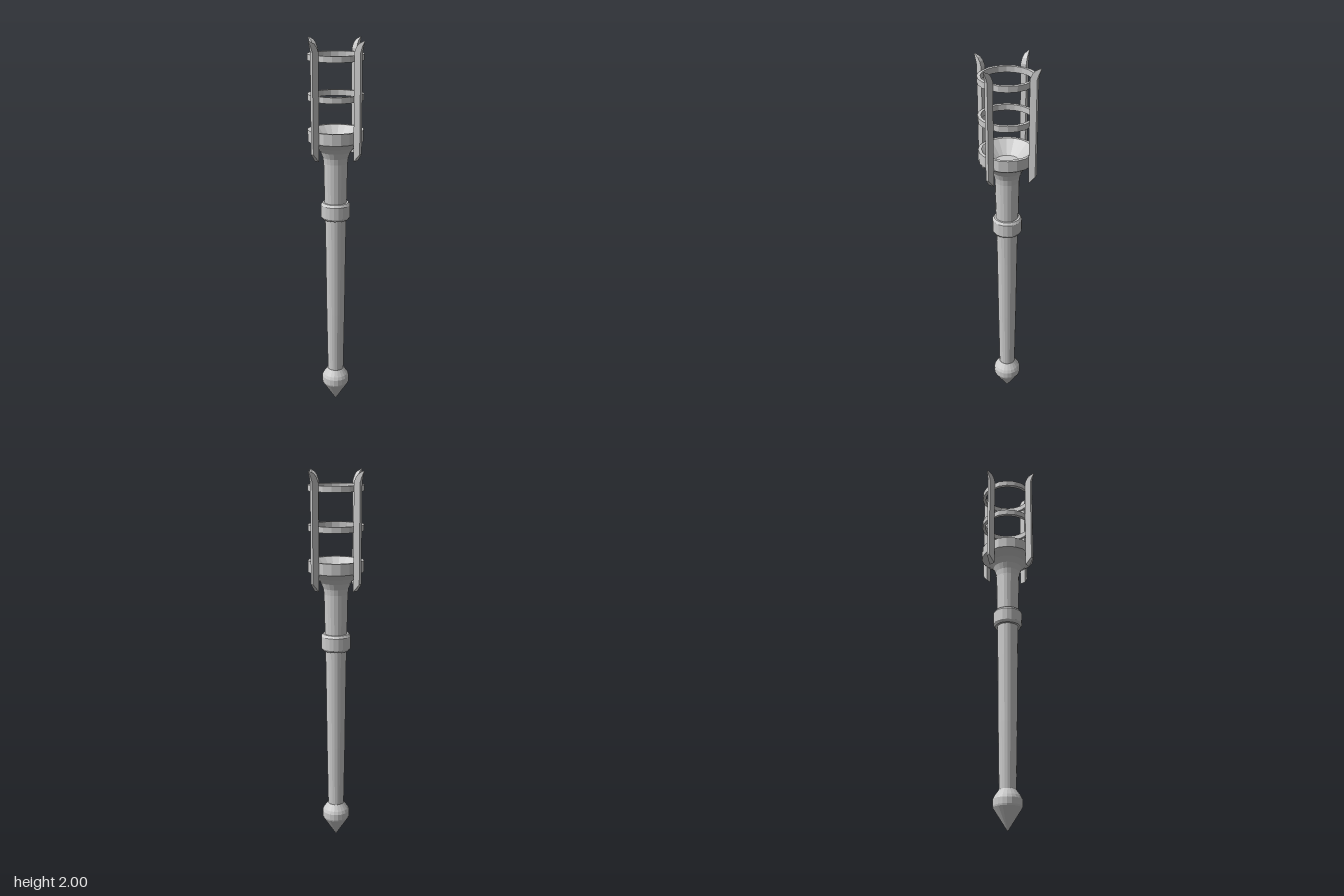
import * as THREE from 'three';

const SIDES = 20;
const FLAT = 0.137; // radius at which the cage is flattened behind each prong

export function createModel() {
  const group = new THREE.Group();
  const material = new THREE.MeshStandardMaterial({ color: 0xcccccc, flatShading: true });

  const add = (name, geometry) => {
    const mesh = new THREE.Mesh(geometry, material);
    mesh.name = name;
    group.add(mesh);
    return mesh;
  };

  // Turned part from [radius, height] pairs, running bottom to top on the outside
  const turned = (name, points) => {
    const geometry = new THREE.LatheGeometry(points.map(([r, y]) => new THREE.Vector2(r, y)), SIDES);
    const p = geometry.attributes.position;
    for (let i = 0; i < p.count; i++) {
      p.setX(i, THREE.MathUtils.clamp(p.getX(i), -FLAT, FLAT));
      p.setZ(i, THREE.MathUtils.clamp(p.getZ(i), -FLAT, FLAT));
    }
    geometry.computeVertexNormals();
    return add(name, geometry);
  };

  // Pointed pommel
  turned('pommel', [[0, 0], [0.072, 0.112], [0.074, 0.12], [0.074, 0.152], [0.067, 0.168], [0.044, 0.2], [0, 0.2]]);

  // Tapering shaft
  turned('shaft', [[0.043, 0.19], [0.049, 0.54], [0.053, 0.9], [0.056, 1.1]]);

  // Bevelled collar
  turned('collar', [[0.05, 1.08], [0.068, 1.08], [0.077, 1.093], [0.077, 1.157], [0.068, 1.17], [0.05, 1.17]]);

  // Neck flaring into a hollow cup
  turned('cup', [
    [0.058, 1.16], [0.062, 1.38], [0.066, 1.41], [0.078, 1.44], [0.1, 1.467], [0.13, 1.489],
    [0.143, 1.497], [0.143, 1.555], [0.126, 1.555], [0.06, 1.49], [0, 1.49],
  ]);

  // Two hoops of the cage
  for (const [name, y] of [['lowerHoop', 1.705], ['upperHoop', 1.9]]) {
    turned(name, [[0.126, y], [0.143, y], [0.143, y + 0.03], [0.126, y + 0.03], [0.126, y]]);
  }

  // Four prongs: a side profile whose thickness narrows towards the outer edge
  const profile = new THREE.Shape([
    [0.137, 1.41], [0.17, 1.45], [0.17, 1.945], [0.177, 1.97], [0.19, 1.998],
    [0.185, 2], [0.16, 1.987], [0.147, 1.97], [0.137, 1.945],
  ].map(([r, y]) => new THREE.Vector2(r, y)));
  const prong = new THREE.ExtrudeGeometry(profile, { depth: 1, bevelEnabled: false });
  const p = prong.attributes.position;
  for (let i = 0; i < p.count; i++) {
    const r = p.getX(i);
    const half = r < 0.16
      ? THREE.MathUtils.mapLinear(r, 0.137, 0.16, 0.016, 0.011)
      : THREE.MathUtils.mapLinear(r, 0.16, 0.19, 0.011, 0.001);
    p.setZ(i, (p.getZ(i) > 0.5 ? 1 : -1) * half);
  }
  prong.computeVertexNormals();
  ['leftProng', 'backProng', 'rightProng', 'frontProng'].forEach((name, i) => {
    add(name, prong).rotation.y = (i * Math.PI) / 2;
  });

  return group;
}
